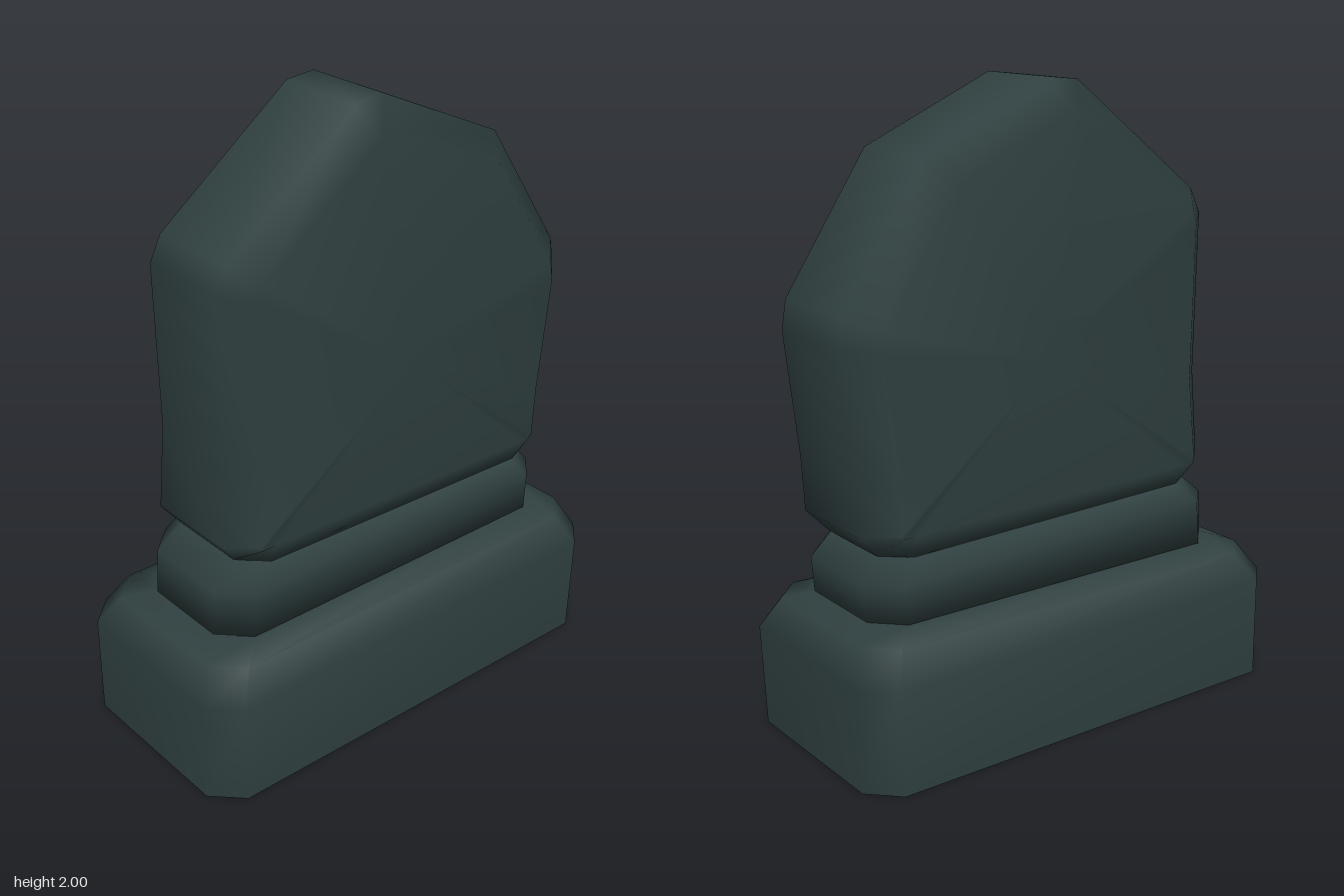
import * as THREE from 'three';

// Skin a list of equal-length rings of [x, y, z] points and close both ends
function loft(rings) {
  const n = rings[0].length, pos = rings.flat(2), index = [];
  for (let k = 0; k < rings.length - 1; k++) {
    for (let i = 0; i < n; i++) {
      const a = k * n + i, b = k * n + (i + 1) % n;
      index.push(a, b, b + n, a, b + n, a + n);
    }
  }
  const cap = (start, flip) => {
    const ring = rings[start / n], c = pos.length / 3;
    for (let j = 0; j < 3; j++) pos.push(ring.reduce((s, p) => s + p[j], 0) / n);
    for (let i = 0; i < n; i++) {
      const a = start + i, b = start + (i + 1) % n;
      index.push(c, flip ? b : a, flip ? a : b);
    }
  };
  cap(0, true);
  cap((rings.length - 1) * n, false);
  const geo = new THREE.BufferGeometry();
  geo.setAttribute('position', new THREE.Float32BufferAttribute(pos, 3));
  geo.setIndex(index);
  geo.computeVertexNormals();
  return geo;
}

// Horizontal rectangle with cut corners; its height may differ left and right
function octagon(x0, x1, z, y0, y1, cut = 0.09) {
  const xz = [
    [x0 + cut, z], [x1 - cut, z], [x1, z - cut], [x1, cut - z],
    [x1 - cut, -z], [x0 + cut, -z], [x0, cut - z], [x0, z - cut],
  ];
  return xz.map(([x, d]) => [x, y0 + (y1 - y0) * (x - x0) / (x1 - x0), d]);
}

export function createModel() {
  const group = new THREE.Group();
  const stone = new THREE.MeshStandardMaterial({ name: 'darkStone', color: 0x304040 });
  const add = (name, rings) => {
    const mesh = new THREE.Mesh(loft(rings), stone);
    mesh.name = name;
    group.add(mesh);
  };

  // Plinth: the doubled first ring keeps the underside edge sharp
  const foot = octagon(-0.8, 0.78, 0.375, 0, 0);
  add('plinth', [
    foot, foot,
    octagon(-0.8, 0.795, 0.375, 0.33, 0.33),
    octagon(-0.74, 0.745, 0.32, 0.425, 0.43),
    octagon(-0.65, 0.67, 0.24, 0.455, 0.46),
  ]);

  // Collar between plinth and headstone
  add('collar', [
    octagon(-0.655, 0.67, 0.24, 0.45, 0.45),
    octagon(-0.645, 0.68, 0.24, 0.6, 0.575),
    octagon(-0.56, 0.615, 0.215, 0.675, 0.65, 0.08),
  ]);

  // Headstone outline: x, y, half depth of the rim, then x, y on the flat face
  const outline = [
    [-0.56, 0.675, 0.135, -0.53, 0.742],
    [-0.48, 0.673, 0.215, -0.48, 0.742],
    [0.54, 0.652, 0.215, 0.55, 0.725],
    [0.62, 0.65, 0.135, 0.59, 0.725],
    [0.69, 0.725, 0.155, 0.6, 0.735],
    [0.70, 0.9, 0.155, 0.61, 0.9],
    [0.745, 1.29, 0.155, 0.655, 1.28],
    [0.73, 1.38, 0.155, 0.645, 1.34],
    [0.45, 1.8, 0.155, 0.39, 1.73],
    [0, 2, 0.155, -0.02, 1.91],
    [-0.1, 1.99, 0.155, -0.075, 1.905],
    [-0.565, 1.63, 0.155, -0.5, 1.58],
    [-0.605, 1.55, 0.155, -0.515, 1.53],
    [-0.595, 1.03, 0.155, -0.505, 1.03],
    [-0.62, 0.75, 0.155, -0.535, 0.755],
  ];
  const face = (z) => outline.map((p) => [p[3], p[4], z]);
  const rim = (side) => outline.map((p) => [p[0], p[1], side * p[2]]);
  add('headstone', [face(-0.24), rim(-1), rim(1), face(0.24)]);

  return group;
}
